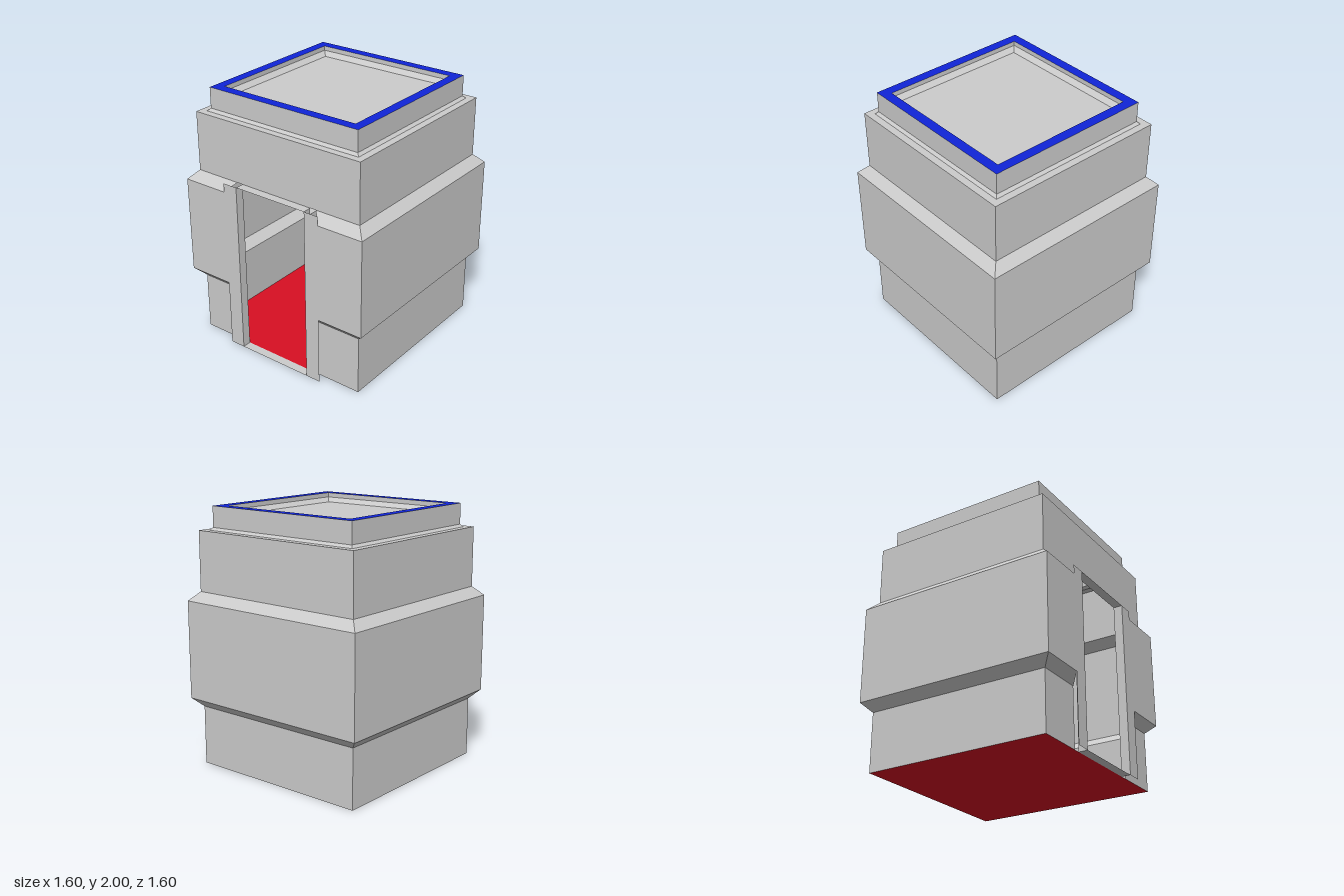
import * as THREE from 'three';

const SIDE = 3; // index of the side holding the doorway (-x)
const CUT = 0.37; // distance the doorway sits inside the side's corner

// Turns a list of four-cornered faces into a flat-shaded geometry.
function quads(list) {
  const pos = [];
  for (const [a, b, c, d] of list) pos.push(...a, ...b, ...c, ...a, ...c, ...d);
  const g = new THREE.BufferGeometry();
  g.setAttribute('position', new THREE.Float32BufferAttribute(pos, 3));
  g.computeVertexNormals();
  return g;
}

// Places a point of a side: r outward, y up, u along the side.
function place(k, r, y, u) {
  return new THREE.Vector3(r, y, u).applyAxisAngle(new THREE.Vector3(0, 1, 0), (k + 3) * Math.PI / 2).toArray();
}

// Sweeps a profile of [half width, height] around four sides, with an optional doorway gap.
function squareSweep(profile, doorway = false) {
  const list = [];
  for (let k = 0; k < 4; k++) {
    for (let i = 0; i < profile.length - 1; i++) {
      const [r0, y0] = profile[i], [r1, y1] = profile[i + 1];
      const face = (a0, b0, a1, b1) => list.push([
        place(k, r0, y0, a0), place(k, r0, y0, b0), place(k, r1, y1, b1), place(k, r1, y1, a1)]);
      if (doorway && k === SIDE) {
        face(r0, r0 - CUT, r1, r1 - CUT);
        face(CUT - r0, -r0, CUT - r1, -r1);
      } else face(r0, -r0, r1, -r1);
    }
  }
  return quads(list);
}

const level = (r, y) => quads([[[-r, y, r], [r, y, r], [r, y, -r], [-r, y, -r]]]);

export function createModel() {
  const model = new THREE.Group();
  const material = (name, color) => {
    const m = new THREE.MeshStandardMaterial({ color, side: THREE.DoubleSide });
    m.name = name;
    return m;
  };
  const grey = material('wall grey', 0xcccccc);
  const red = material('floor red', 0xd80f22);
  const blue = material('rim blue', 0x1024d8);

  const add = (name, geometry, mat, parent = model) => {
    const mesh = new THREE.Mesh(geometry, mat);
    mesh.name = name;
    parent.add(mesh);
  };

  // Hollow shell: lower wall and belt open at the doorway, upper wall closed
  add('lowerWallAndBelt', squareSweep([[0.73, 0], [0.73, 0.46], [0.8, 0.53], [0.8, 1.29], [0.73, 1.36]], true), grey);
  add('upperWall', squareSweep([[0.73, 1.36], [0.73, 1.82], [0.675, 1.82], [0.655, 1.84], [0.655, 2]]), grey);

  // Parapet rim and recessed roof
  add('parapetRim', squareSweep([[0.655, 2], [0.58, 2]]), blue);
  add('parapetInside', squareSweep([[0.58, 2], [0.58, 1.965], [0.545, 1.93]]), grey);
  add('roof', level(0.545, 1.93), grey);
  add('floor', level(0.73, 0), red);

  // Door frame: thin jambs and reveals, lintel and threshold
  const frame = new THREE.Group();
  frame.name = 'doorFrame';
  model.add(frame);
  const xo = -0.8, xi = -0.73, w = 0.31, j = 0.43, top = 1.36;
  add('jambs', quads([
    [[xo, 0, -j], [xo, 0, -w], [xo, top, -w], [xo, top, -j]],
    [[xo, 0, w], [xo, 0, j], [xo, top, j], [xo, top, w]],
  ]), grey, frame);
  add('reveals', quads([
    [[xo, 0, -w], [xi, 0, -w], [xi, top, -w], [xo, top, -w]],
    [[xi, 0, w], [xo, 0, w], [xo, top, w], [xi, top, w]],
  ]), grey, frame);
  for (const [name, y] of [['lintel', top], ['threshold', 0]]) {
    add(name, quads([[[xo, y, w], [xi, y, w], [xi, y, -w], [xo, y, -w]]]), grey, frame);
  }
  return model;
}
